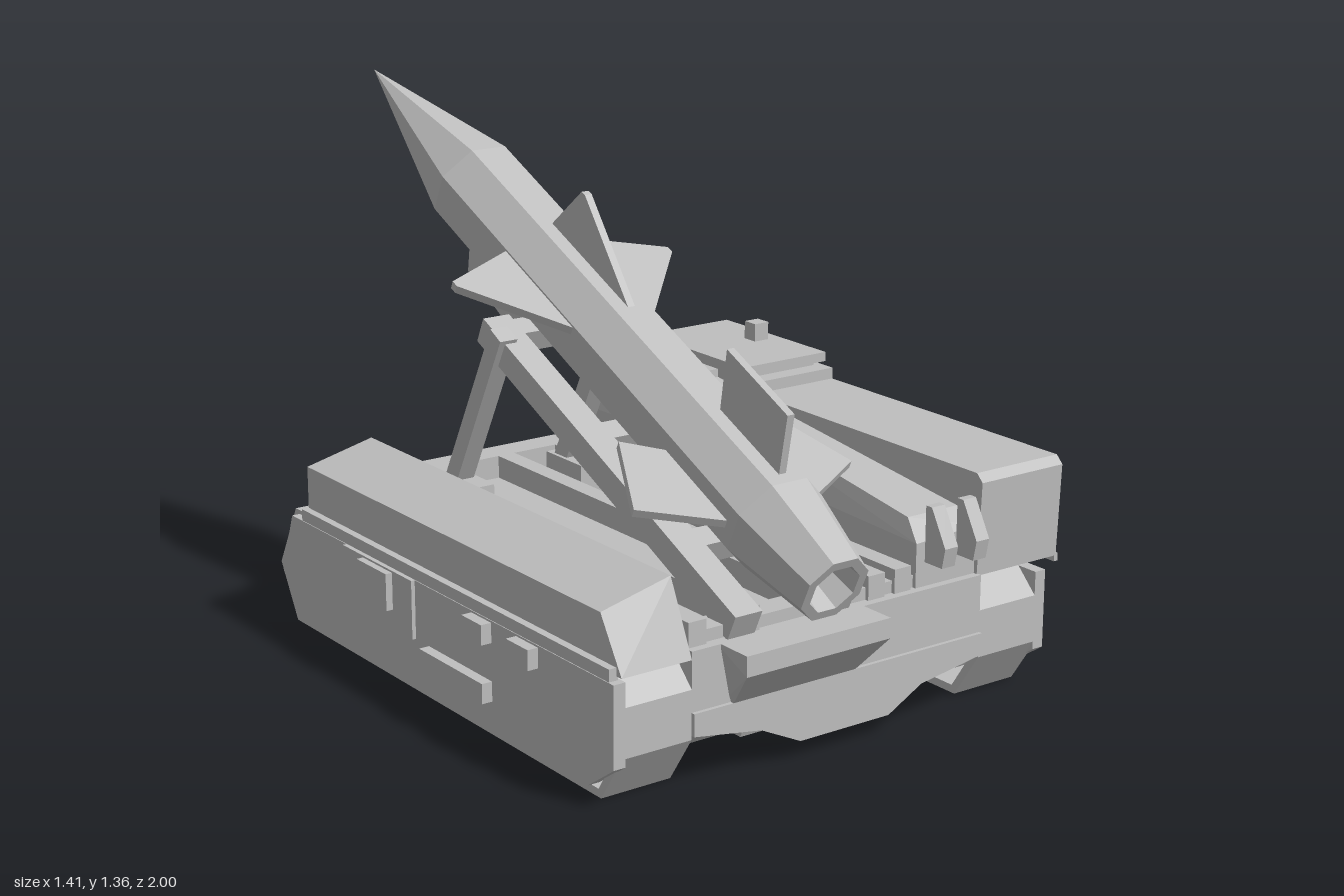
import * as THREE from 'three';
import { ConvexGeometry } from 'three/addons/geometries/ConvexGeometry.js';

export function createModel() {
  const root = new THREE.Group();
  root.name = 'missileCarrier';
  const grey = new THREE.MeshStandardMaterial({ color: 0xbfbfbf, flatShading: true });
  grey.name = 'plainGrey';

  const add = (name, geo, parent = root) => {
    const m = new THREE.Mesh(geo, grey);
    m.name = name;
    parent.add(m);
    return m;
  };
  const box = (name, x0, x1, y0, y1, z0, z1, parent = root) => {
    const g = new THREE.BoxGeometry(x1 - x0, y1 - y0, z1 - z0);
    g.translate((x0 + x1) / 2, (y0 + y1) / 2, (z0 + z1) / 2);
    return add(name, g, parent);
  };
  const shapeOf = pts => new THREE.Shape(pts.map(p => new THREE.Vector2(p[0], p[1])));
  const extrude = (pts, depth, holes = []) => {
    const s = shapeOf(pts);
    s.holes = holes.map(shapeOf);
    return new THREE.ExtrudeGeometry(s, { depth, bevelEnabled: false });
  };
  // profile of [z, y] points swept along x
  const flip = pts => pts.map(([z, y]) => [-z, y]);
  const prismX = (name, pts, x0, x1, holes = []) => {
    const g = extrude(flip(pts), x1 - x0, holes.map(flip));
    return add(name, g.rotateY(Math.PI / 2).translate(x0, 0, 0));
  };
  // profile of [x, y] points swept along z
  const prismZ = (name, pts, z0, z1) => add(name, extrude(pts, z1 - z0).translate(0, 0, z0));
  // convex block from its corners
  const block = (name, pts) => add(name, new ConvexGeometry(pts.map(p => new THREE.Vector3(...p))));
  // square bar between two [x, y, z] points
  const bar = (name, a, b, w, d) => {
    const p = new THREE.Vector3(...a), q = new THREE.Vector3(...b);
    const m = add(name, new THREE.BoxGeometry(w, p.distanceTo(q), d));
    m.position.copy(p).lerp(q, 0.5);
    m.quaternion.setFromUnitVectors(new THREE.Vector3(0, 1, 0), q.sub(p).normalize());
  };

  // Tracks are hollow belts: the vehicle is centred on x = -0.04
  const MID = -0.04;
  const belt = [[0.74, 0], [-0.65, 0], [-0.73, 0.14], [-0.64, 0.31], [0.74, 0.32], [0.82, 0.24], [0.82, 0.12]];
  const beltInside = [[0.73, 0.02], [-0.638, 0.02], [-0.706, 0.14], [-0.628, 0.29], [0.732, 0.3], [0.8, 0.232], [0.8, 0.127]];
  const skirt = [[0.72, 0.03], [-0.61, 0.03], [-0.68, 0.14], [-0.62, 0.3], [0.82, 0.3], [0.82, 0.1]];
  for (const s of [-1, 1]) {
    const span = (a, b) => [MID + s * a, MID + s * b].sort((p, q) => p - q);
    prismX('trackBelt', belt, ...span(0.43, 0.62), [beltInside]);
    prismX('trackSkirt', skirt, ...span(0.61, 0.642));
    // road wheels inside the belt
    for (let i = 0; i < 5; i++) {
      const w = new THREE.CylinderGeometry(0.125, 0.125, 0.16, 6).rotateZ(Math.PI / 2);
      add('roadWheel', w).position.set(MID + s * 0.53, 0.135, 0.6 - i * 0.275);
    }
    // stowage boxes and hatch on the skirt
    for (const [z0, z1, y0, y1] of [[0.435, 0.525, 0.245, 0.295], [0.245, 0.33, 0.245, 0.295],
      [0.05, 0.33, 0.1, 0.15], [-0.24, -0.1, 0.2, 0.295]]) {
      const [a, b] = span(0.64, 0.67);
      box('skirtBox', a, b, y0, y1, z0, z1);
    }
    const [a, b] = span(0.64, 0.652);
    box('skirtHatch', a, b, 0.15, 0.3, -0.34, -0.01);
  }

  // Hull, keel and front plate
  prismX('hull', [[0.8, 0.13], [0.82, 0.18], [0.82, 0.33], [-0.57, 0.33], [-0.67, 0.23], [-0.6, 0.13],
    [-0.57, 0.13], [-0.54, 0.2], [0.62, 0.2], [0.64, 0.13]], -0.47, 0.39);
  prismX('keel', [[0.74, 0.05], [0.8, 0.2], [-0.6, 0.2], [-0.58, 0.05]], -0.27, 0.19);
  prismX('frontCrossMember', [[0.78, 0.14], [0.7, 0.05], [0.64, 0.05], [0.62, 0.14]], -0.47, 0.39);
  prismZ('frontPlate', [[-0.47, 0.185], [-0.47, 0.13], [-0.28, 0.1], [-0.165, 0.045], [0.1, 0.045],
    [0.2, 0.1], [0.39, 0.13], [0.39, 0.185]], 0.78, 0.83);
  box('rearCrossBeam', -0.47, 0.39, 0.05, 0.13, -0.64, -0.58);
  block('frontBox', [[-0.39, 0.33, 0.8], [0.025, 0.33, 0.8], [-0.39, 0.33, 0.915], [0.025, 0.33, 0.915],
    [-0.39, 0.28, 0.915], [0.025, 0.28, 0.915], [-0.36, 0.185, 0.83], [-0.005, 0.185, 0.83],
    [-0.36, 0.185, 0.8], [-0.005, 0.185, 0.8]]);
  box('rearLamp', -0.33, -0.2, 0.25, 0.3, -0.66, -0.59);
  box('rearLamp', 0.055, 0.24, 0.25, 0.3, -0.66, -0.59);
  box('rearSill', -0.47, 0.39, 0.2, 0.24, -0.69, -0.62);

  // Deck frame
  box('deckCrossBeam', -0.47, 0.2, 0.33, 0.39, -0.58, -0.5);
  box('deckCrossBeam', -0.47, 0.2, 0.33, 0.36, 0.72, 0.79);
  for (const x of [-0.44, -0.29, -0.1, 0.08, 0.16]) box('deckRail', x - 0.025, x + 0.025, 0.33, 0.39, -0.5, 0.8);

  // Right stowage bin with a roof falling outwards
  block('sideBin', [
    [-0.66, 0.31, 0.82], [-0.47, 0.31, 0.82], [-0.66, 0.44, 0.74], [-0.47, 0.485, 0.74],
    [-0.66, 0.31, -0.57], [-0.47, 0.31, -0.57], [-0.66, 0.44, -0.57], [-0.47, 0.485, -0.57]]);
  box('binSkirt', -0.68, -0.655, 0.3, 0.33, -0.57, 0.8);

  // Left body with the cab at its nose: a core and an outer wall pierced by windows
  const body = [[0.81, 0.325], [0.82, 0.56], [0.8, 0.58], [-0.05, 0.58], [-0.05, 0.61], [-0.34, 0.61],
    [-0.62, 0.475], [-0.65, 0.44], [-0.65, 0.3], [-0.03, 0.3], [-0.03, 0.325]];
  const windows = [[0.525, 0.68], [0.34, 0.485], [0.04, 0.2], [-0.15, 0.01], [-0.3, -0.19]]
    .map(([z0, z1]) => [[z0, 0.46], [z1, 0.46], [z1, 0.555], [z0, 0.555]]);
  prismX('bodyCore', body, 0.385, 0.605);
  prismX('bodyOuterWall', body, 0.605, 0.645, windows);
  box('bodyLedge', 0.64, 0.652, 0.31, 0.33, -0.03, 0.81);
  // inner half: a ridge falling to the front and a sloping cab nose
  block('innerBody', [
    [0.2, 0.33, -0.17], [0.39, 0.33, -0.17], [0.2, 0.47, -0.17], [0.39, 0.49, -0.17],
    [0.24, 0.61, -0.17], [0.345, 0.61, -0.17], [0.2, 0.33, 0.8], [0.39, 0.33, 0.8],
    [0.2, 0.44, 0.8], [0.39, 0.45, 0.8], [0.215, 0.49, 0.75], [0.37, 0.49, 0.75]]);
  block('cabInnerHalf', [
    [0.2, 0.33, -0.64], [0.2, 0.46, -0.63], [0.39, 0.33, -0.65], [0.39, 0.475, -0.63],
    [0.245, 0.63, -0.2], [0.39, 0.63, -0.3], [0.245, 0.63, -0.16], [0.39, 0.63, -0.16],
    [0.2, 0.47, -0.15], [0.2, 0.33, -0.15], [0.39, 0.33, -0.15]]);
  box('cabRoof', 0.345, 0.62, 0.6, 0.635, -0.36, -0.1);
  box('roofPlate', 0.345, 0.62, 0.632, 0.657, -0.48, -0.05);
  box('roofHatch', 0.535, 0.58, 0.657, 0.705, -0.29, -0.245);

  // Windscreen panes on the sloping nose
  for (const x of [0.45, 0.57]) {
    const pane = add('windscreenPane', new THREE.BoxGeometry(0.1, 0.009, 0.2));
    pane.position.set(x, 0.545, -0.482);
    pane.rotation.x = -0.449;
  }
  // Wing mirror
  bar('mirrorArm', [0.63, 0.48, -0.5], [0.68, 0.48, -0.53], 0.012, 0.012);
  const mirror = add('mirror', new THREE.BoxGeometry(0.05, 0.065, 0.015));
  mirror.position.set(0.68, 0.48, -0.53);
  mirror.rotation.y = -0.6;

  // Hooked brackets beside the body and at its front end
  const hook = [[0.15, 0.37], [0.15, 0.49], [0.2, 0.55], [0.24, 0.55], [0.24, 0.52], [0.2, 0.47], [0.2, 0.37]];
  for (const z of [-0.08, 0.02, 0.26, 0.355]) prismZ('sideBracket', hook, z - 0.017, z + 0.017);
  for (const x of [0.247, 0.345]) {
    prismX('frontBracket', [[0.8, 0.39], [0.86, 0.39], [0.87, 0.44], [0.82, 0.53], [0.8, 0.53]], x - 0.02, x + 0.02);
  }

  // Missile and launch rails share a tilted frame: local y runs along the axis, local z is up
  const launcher = new THREE.Group();
  launcher.name = 'launcher';
  launcher.position.set(-0.185, 0.457, 0.965);
  launcher.rotation.x = -THREE.MathUtils.degToRad(65.2);
  root.add(launcher);

  const k = 1 / Math.cos(Math.PI / 8);
  const outline = [[0, 0.09], [0.05, 0.09], [0.062, 0], [0.084, 0], [0.12, 0.236], [0.12, 1.593], [0, 2.162]]
    .map(([r, s]) => new THREE.Vector2(r * k, s));
  add('missileBody', new THREE.LatheGeometry(outline, 8, Math.PI / 8).toNonIndexed(), launcher);

  // Fins: [radius, distance along the axis], turned about the axis and lifted off it
  const fin = (name, pts, turn, lift = 0) => {
    const g = extrude(pts, 0.02).translate(0, 0, -0.01).rotateY(turn);
    add(name, g.translate(0, 0, lift), launcher);
  };
  for (const turn of [0, Math.PI]) {
    fin('sideWing', [[0.1, 0.93], [0.32, 1.17], [0.32, 1.19], [0.1, 1.28]], turn, 0.035);
    fin('sideTailFin', [[0.09, 0.25], [0.315, 0.36], [0.215, 0.58], [0.1, 0.51]], turn);
  }
  fin('topWing', [[0.1, 0.87], [0.265, 1.17], [0.265, 1.185], [0.1, 1.27]], -Math.PI / 2);
  fin('topTailFin', [[0.1, 0.26], [0.262, 0.3], [0.264, 0.546], [0.1, 0.5]], -Math.PI / 2);

  // Launch rails, cross ties and the nose cradle
  for (const s of [-1, 1]) box('launchRail', s * 0.138 - 0.038, s * 0.138 + 0.038, 0.09, 1.22, -0.185, -0.115, launcher);
  for (const s of [0.35, 0.75, 1.17]) box('crossTie', -0.1, 0.1, s - 0.03, s + 0.03, -0.175, -0.115, launcher);
  const cradle = extrude([[0.1, 1.2], [0.176, 1.21], [0.195, 1.31], [0.18, 1.486], [0.1, 1.51]], 0.1);
  add('noseCradle', cradle.translate(0, 0, -0.05).rotateY(Math.PI / 2), launcher);

  // Struts holding the launcher up, with feet on the deck
  for (const s of [-1, 1]) {
    const x = -0.185 + s * 0.168;
    bar('supportStrut', [x, 0.36, -0.36], [x, 0.84, -0.11], 0.05, 0.05);
    box('strutFoot', x - 0.035, x + 0.035, 0.33, 0.42, -0.38, -0.22);
  }
  return root;
}
